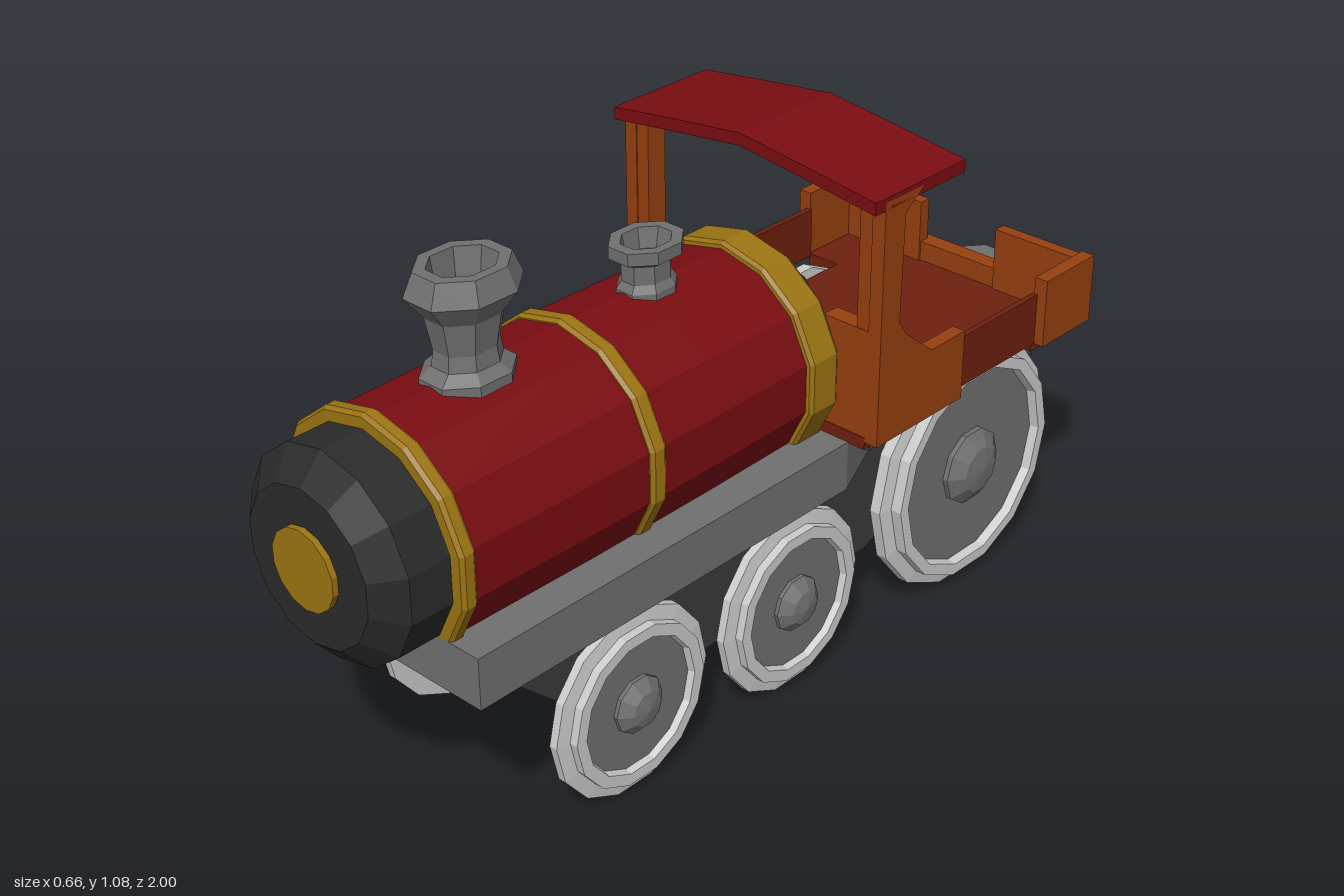
import * as THREE from 'three';

const mat = (color) => new THREE.MeshStandardMaterial({ color, flatShading: true, side: THREE.DoubleSide });
const RED = mat(0x7a0d12), ORANGE = mat(0x96400f), GOLD = mat(0x9c7412), BLACK = mat(0x2b2b2b);
const GREY = mat(0x707070), DARK = mat(0x3a3a3a), LIGHT = mat(0xcccccc), BROWN = mat(0x6e2010);
const AXIS_Y = 0.64;

export function createModel() {
  const root = new THREE.Group();

  const add = (name, geometry, material, parent = root) => {
    const mesh = new THREE.Mesh(geometry, material);
    mesh.name = name;
    parent.add(mesh);
    return mesh;
  };
  const lathe = (pts, sides) => new THREE.LatheGeometry(pts.map(([r, y]) => new THREE.Vector2(r, y)), sides);
  const extrude = (pts, depth) => new THREE.ExtrudeGeometry(
    new THREE.Shape(pts.map(([a, b]) => new THREE.Vector2(a, b))), { depth, bevelEnabled: false });
  // Box given by its limits on each axis
  const box = (name, [x0, x1], [y0, y1], [z0, z1], material) => add(name,
    new THREE.BoxGeometry(x1 - x0, y1 - y0, z1 - z0)
      .translate((x0 + x1) / 2, (y0 + y1) / 2, (z0 + z1) / 2), material);
  // Same box on both sides of the engine
  const boxPair = (name, [x0, x1], y, z, material) => {
    box(name + 'Left', [x0, x1], y, z, material);
    box(name + 'Right', [-x1, -x0], y, z, material);
  };
  // Side profile of [z, y] points, spanning x0..x1
  const sideProfile = (name, pts, x0, x1, material) =>
    add(name, extrude(pts, x1 - x0).rotateY(-Math.PI / 2).translate(x1, 0, 0), material);
  // Turned part along the boiler axis, [radius, z] from back to front
  const boilerPart = (name, pts, material, sides = 14) =>
    add(name, lathe(pts, sides).rotateX(Math.PI / 2).translate(0, AXIS_Y, 0), material);

  // Boiler, bands and smokebox
  boilerPart('boiler', [[0, -0.11], [0.222, -0.11], [0.228, 0.2], [0.23, 0.5], [0.226, 0.84], [0, 0.84]], RED);
  [[-0.12, -0.04], [0.355, 0.395], [0.815, 0.85]].forEach(([a, b], i) =>
    boilerPart('boilerBand' + (i + 1),
      [[0, a], [0.232, a], [0.238, a + 0.008], [0.238, b - 0.008], [0.232, b], [0, b]], GOLD));
  boilerPart('smokebox', [[0, 0.84], [0.21, 0.84], [0.21, 0.94], [0.155, 0.988], [0, 0.988]], BLACK);
  boilerPart('smokeboxDoor', [[0, 0.98], [0.08, 0.98], [0.08, 1], [0, 1]], GOLD);

  // Firebox back plate with its door, inside the cab
  boilerPart('fireboxPlate', [[0, -0.17], [0.17, -0.17], [0.2, -0.15], [0.2, -0.1]], BLACK, 10);
  box('fireboxDoor', [-0.075, 0.075], [0.57, 0.72], [-0.185, -0.165], BLACK);

  // Hollow funnels, slightly narrower across the engine
  const funnel = (name, z, pts) => {
    const mesh = add(name, lathe(pts, 8).rotateY(Math.PI / 8), GREY);
    mesh.scale.x = 0.82;
    mesh.position.z = z;
  };
  funnel('chimney', 0.61, [[0.095, 0.84], [0.095, 0.872], [0.07, 0.89], [0.065, 0.92], [0.078, 0.985],
    [0.115, 1.03], [0.095, 1.075], [0.07, 1.075], [0.058, 1.0], [0, 1.0]]);
  funnel('steamDome', 0.165, [[0.065, 0.84], [0.065, 0.87], [0.054, 0.885], [0.054, 0.922],
    [0.08, 0.935], [0.08, 0.96], [0.055, 0.96], [0.045, 0.92], [0, 0.92]]);

  // Frame, narrowing behind the second axle to a tapered tail
  const halfPlan = [[0.26, -0.85], [0.26, 0.12], [0.19, 0.28], [0.19, 0.85], [0.07, 1]];
  const plan = [...halfPlan, ...halfPlan.map(([x, y]) => [-x, y]).reverse()];
  add('frame', extrude(plan, 0.107).rotateX(-Math.PI / 2).translate(0, 0.398, 0), GREY);
  sideProfile('undercarriage', [[0.77, 0.4], [0.52, 0.168], [-0.26, 0.168], [-0.82, 0.4]], -0.2, 0.2, DARK);

  // Wheels: flanged rim, recessed disc and domed hub
  const wheel = (name, r, z, side, hubR, width) => {
    const group = new THREE.Group();
    group.name = name;
    const turned = (part, pts, sides, material) =>
      add(part, lathe(pts, sides).rotateZ(-Math.PI / 2), material, group);
    const rim = r - 0.055, tread = r - 0.03;
    turned('rim', [[0, 0], [r, 0], [r, width * 0.45], [tread, width * 0.55], [tread, width],
      [rim, width], [rim - 0.005, width * 0.6]], 14, LIGHT);
    turned('disc', [[rim, width * 0.65], [0, width * 0.65]], 14, GREY);
    turned('hub', [[hubR, width * 0.5], [hubR, width * 0.85], [hubR * 0.6, width + 0.015], [0, width + 0.022]], 10, GREY);
    group.position.set(side * 0.225, r, z);
    if (side < 0) group.rotation.y = Math.PI;
    root.add(group);
  };
  for (const side of [1, -1]) {
    const label = side > 0 ? 'Left' : 'Right';
    wheel('frontWheel' + label, 0.198, 0.465, side, 0.06, 0.04);
    wheel('middleWheel' + label, 0.198, 0.02, side, 0.06, 0.04);
    wheel('rearWheel' + label, 0.278, -0.52, side, 0.085, 0.055);
  }

  // Cab floor, narrow between the rear wheels
  box('cabFloorFront', [-0.3, 0.3], [0.503, 0.53], [-0.385, -0.12], BROWN);
  box('cabFloorMiddle', [-0.22, 0.22], [0.503, 0.53], [-0.66, -0.385], BROWN);
  box('cabFloorRear', [-0.3, 0.3], [0.503, 0.53], [-0.81, -0.66], BROWN);

  // Cab sides with swept top edge, window post and roof bracket
  const cabSide = [[-0.12, 0.52], [-0.12, 1.035], [-0.23, 1.035], [-0.18, 0.995], [-0.175, 0.77],
    [-0.2, 0.735], [-0.28, 0.67], [-0.385, 0.67], [-0.385, 0.52]];
  for (const [label, x] of [['Left', 0.3], ['Right', -0.33]])
    sideProfile('cabSide' + label, cabSide, x, x + 0.03, ORANGE);
  boxPair('cabPost', [0.27, 0.325], [0.75, 1.035], [-0.17, -0.122], ORANGE);
  boxPair('cabFrontWall', [0.19, 0.328], [0.52, 0.76], [-0.16, -0.121], ORANGE);
  boxPair('lowSideWall', [0.295, 0.308], [0.525, 0.638], [-0.66, -0.38], BROWN);

  // Rear bunker corners and low centre panel
  boxPair('rearSideWall', [0.3, 0.33], [0.525, 0.675], [-0.825, -0.66], ORANGE);
  boxPair('rearWall', [0.1, 0.328], [0.525, 0.67], [-0.823, -0.795], ORANGE);
  box('rearCentrePanel', [-0.11, 0.11], [0.515, 0.575], [-0.84, -0.8], ORANGE);

  // Roof, gently swept down to both eaves
  const roofTop = [[-0.33, 1.045], [-0.16, 1.067], [0, 1.086], [0.16, 1.067], [0.33, 1.045]];
  const roof = [...roofTop, ...roofTop.map(([x, y]) => [x, y - 0.026]).reverse()];
  add('roof', extrude(roof, 0.265).translate(0, 0, -0.355), RED);

  return root;
}
